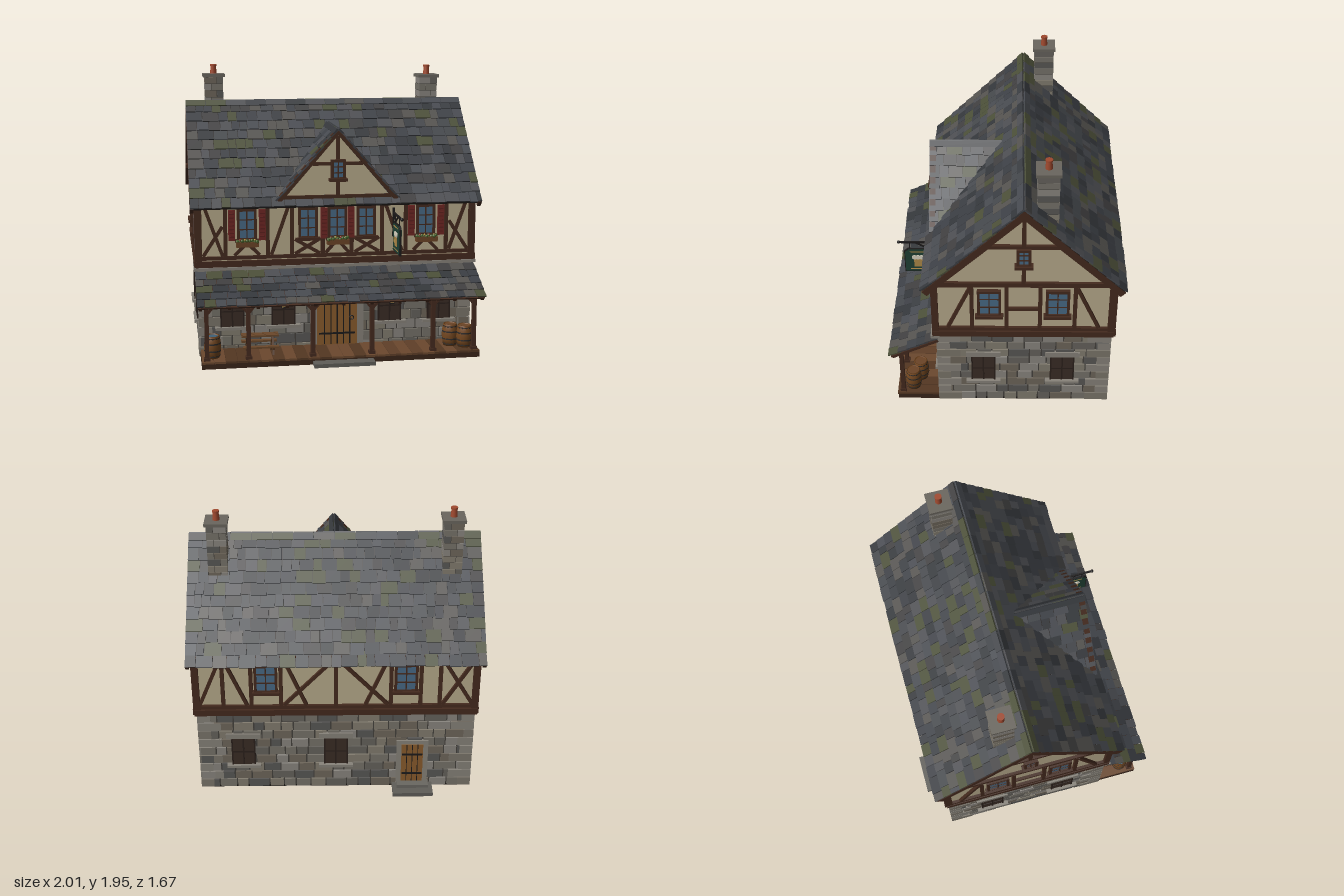
import * as THREE from 'three';
import { mergeGeometries } from 'three/addons/utils/BufferGeometryUtils.js';

const C = { timber: 0x442a1e, plaster: 0xb8ab8c, mortar: 0x45423d, glass: 0x486a86, dark: 0x3a2c25, wood: 0x8a5c2c, deck: 0x5f3f28,
  iron: 0x1c1a1a, red: 0x702623, quoin: 0x88837a, clay: 0xa0492e, green: 0x1f4034, gold: 0xb08a48, leaf: 0x46602a };
const STONES = [0x77736a, 0x66635d, 0x837d70, 0x595856, 0x6f675b, 0x8a8680];
const SLATES = [0x44474b, 0x3a3d42, 0x4d4e52, 0x34373b, 0x403f40, 0x474a50, 0x54524f, 0x3d4046, 0x4b4f38];

let seed = 7;
const rnd = (a = 0, b = 1) => { seed = (seed * 16807) % 2147483647; return a + (b - a) * seed / 2147483647; };
const pick = (list) => list[Math.floor(rnd() * list.length)];

// Pieces are collected per part name and colour, then merged
let parts, frame;
const F = (x, y, z, ry = 0, rx = 0) => new THREE.Matrix4().makeRotationFromEuler(new THREE.Euler(rx, ry, 0, 'YXZ')).setPosition(x, y, z);
function put(name, color, geo, x = 0, y = 0, z = 0, rx = 0, ry = 0, rz = 0) {
  const g = geo.index ? geo.toNonIndexed() : geo.clone();
  g.applyMatrix4(F(0, 0, 0).makeRotationFromEuler(new THREE.Euler(rx, ry, rz)).setPosition(x, y, z)).applyMatrix4(frame);
  const colors = parts.get(name) ?? parts.set(name, new Map()).get(name);
  (colors.get(color) ?? colors.set(color, []).get(color)).push(g);
}
const box = (name, color, w, h, d, x, y, z, ...r) => put(name, color, new THREE.BoxGeometry(w, h, d), x, y, z, ...r);
const cyl = (name, color, r, h, x, y, z, ...rot) => put(name, color, new THREE.CylinderGeometry(r, r, h, 12), x, y, z, ...rot);
const beam = (name, x1, y1, x2, y2, n = 0.012, w = 0.026, d = 0.03, color = C.timber) =>
  box(name, color, w, Math.hypot(x2 - x1, y2 - y1), d, (x1 + x2) / 2, (y1 + y2) / 2, n, 0, 0, Math.atan2(x1 - x2, y2 - y1));
function plate(name, color, pts, depth, n) {
  const s = new THREE.Shape(pts.map((p) => new THREE.Vector2(...p)));
  put(name, color, new THREE.ExtrudeGeometry(s, { depth, bevelEnabled: false }), 0, 0, n);
}

// Coursed stones on a wall of half width hw
function masonry(hw, rows = 9, top = 0.615) {
  const h = top / rows;
  for (let r = 0; r < rows; r++) {
    for (let u = -hw; u < hw - 0.01;) {
      let w = Math.min(rnd(0.07, 0.16), hw - u);
      if (hw - u - w < 0.05) w = hw - u;
      box('stoneWall', pick(STONES), w - 0.009, h - 0.008, 0.02, u + w / 2, h * (r + 0.5), rnd(-0.009, -0.004));
      u += w;
    }
  }
}

// Overlapping slates; range gives the ends of the row at v
function slates(name, length, rows, range) {
  const h = length / rows;
  for (let r = 0; r < rows; r++) {
    const [a, b] = range(-(r + 0.5) * h);
    for (let u = a; u < b - 0.004;) {
      let w = Math.min(rnd(0.05, 0.115), b - u);
      if (b - u - w < 0.03) w = b - u;
      const l = h * 1.22 + rnd(0, 0.01);
      box(name, pick(SLATES), w - 0.004, l, 0.009, u + w / 2, -r * h - l / 2 + 0.006, 0.008, -0.09, 0, rnd(-0.012, 0.012));
      u += w;
    }
  }
}

function timberWindow(u, v, w, h, n = 0.012) {
  box('windowGlass', C.glass, w, h, 0.012, u, v, n);
  for (const s of [-1, 1]) {
    box('windowFrame', C.timber, 0.018, h + 0.018, 0.03, u + s * w / 2, v, n + 0.004);
    box('windowFrame', C.timber, w, 0.018, 0.03, u, v + s * h / 2, n + 0.004);
    box('windowFrame', C.timber, w, 0.007, 0.01, u, v + s * h / 6, n + 0.006);
  }
  box('windowFrame', C.timber, 0.008, h, 0.012, u, v, n + 0.007);
  box('windowSill', C.timber, w + 0.045, 0.02, 0.05, u, v - h / 2 - 0.008, n + 0.01);
}
function stoneWindow(u, v = 0.31, w = 0.165, h = 0.215) {
  box('shutteredOpening', C.dark, w, h, 0.014, u, v, 0.002);
  for (const s of [-1, 0, 1]) box('openingBars', 0x2b201b, 0.01, h, 0.012, u + s * (w / 2 - 0.005), v, 0.008);
  box('openingBars', 0x2b201b, w, 0.01, 0.012, u, v, 0.008);
  box('lintel', C.quoin, w + 0.07, 0.04, 0.03, u, v + h / 2 + 0.02, 0);
  box('stoneSill', C.quoin, w + 0.07, 0.02, 0.05, u, v - h / 2 - 0.01, 0.006);
}

function barrel(x, z, lid) {
  const prof = [[0, 0], [0.046, 0], [0.054, 0.04], [0.057, 0.075], [0.054, 0.11], [0.046, 0.15], [0.04, 0.15], [0.04, 0.14], [0, 0.14]];
  put('barrel', 0x74471f, new THREE.LatheGeometry(prof.map((p) => new THREE.Vector2(...p)), 16), x, 0.05, z);
  for (const [y, r] of [[0.015, 0.05], [0.05, 0.0565], [0.1, 0.0565], [0.135, 0.05]]) cyl('barrelHoop', 0x2f2c2b, r, 0.01, x, 0.05 + y, z);
  cyl('barrelLid', lid, 0.041, 0.004, x, 0.192, z);
}

// Half timbering shared by every upper wall
function wallFrame(hw, posts, braces) {
  box('timberFrame', C.timber, hw * 2 + 0.02, 0.045, 0.04, 0, 0.643, 0.01);
  box('timberFrame', C.timber, hw * 2 + 0.02, 0.025, 0.03, 0, 0.685, 0.01);
  box('timberFrame', C.timber, hw * 2 + 0.02, 0.035, 0.03, 0, 1.068, 0.01);
  for (const s of [-1, 1]) box('timberFrame', C.timber, 0.045, 0.44, 0.034, s * (hw - 0.01), 0.85, 0.009);
  for (const p of posts) beam('timberFrame', p, 0.69, p, 1.06);
  for (const b of braces) beam('timberFrame', ...b, 0.011, 0.023);
}

export function createModel() {
  seed = 7; parts = new Map();
  const world = F(0, 0, 0), front = F(0, 0, 0.46), back = F(0, 0, -0.71, Math.PI);
  const sides = [1, -1].map((s) => F(s * 0.94, 0, -0.12, s * Math.PI / 2));

  // Solid body: stone storey, plaster storey, attic
  frame = world;
  box('groundBase', 0x1c1815, 1.88, 0.01, 1.17, 0, 0.005, -0.125);
  box('stoneCore', C.mortar, 1.862, 0.61, 1.152, 0, 0.312, -0.125);
  box('plasterWall', C.plaster, 1.89, 0.45, 1.19, 0, 0.85, -0.12);
  frame = F(-0.945, 0, -0.12, Math.PI / 2);
  plate('gableWall', C.plaster, [[-0.59, 1.06], [0.59, 1.06], [0.59, 1.085], [0, 1.66], [-0.59, 1.085]], 1.89, 0);

  // Corner stones and projecting course
  frame = world;
  for (const sx of [-1, 1]) for (const [z, sz] of [[0.465, 1], [-0.715, -1]]) for (let r = 0; r < 9; r++) {
    const a = r % 2 ? 0.16 : 0.09, b = r % 2 ? 0.09 : 0.16;
    box('cornerStone', r % 3 ? C.quoin : 0x7c766b, a, 0.061, b, sx * (0.948 - a / 2), 0.034 + r * 0.0683, z - sz * b / 2);
  }
  box('stoneCourse', C.quoin, 1.94, 0.02, 0.06, 0, 0.614, 0.47);

  // Front wall
  frame = front; masonry(0.94);
  [-0.72, -0.37, 0.37, 0.72].forEach((u) => stoneWindow(u));
  const arch = (w, y0, top) => [[-w, y0], [w, y0], [w, top - 0.09], [w * 0.86, top - 0.04], [w * 0.5, top - 0.008], [0, top], [-w * 0.5, top - 0.008], [-w * 0.86, top - 0.04], [-w, top - 0.09]];
  plate('doorSurround', C.quoin, arch(0.185, 0.05, 0.475), 0.02, -0.005);
  plate('frontDoor', C.wood, arch(0.14, 0.05, 0.435), 0.012, 0.01);
  for (let i = -2; i <= 2; i++) box('doorStrap', C.iron, 0.008, 0.36, 0.008, i * 0.044, 0.235, 0.023);
  for (const y of [0.13, 0.34]) box('doorStrap', C.iron, 0.25, 0.012, 0.008, 0, y, 0.024);
  put('doorHandle', C.iron, new THREE.TorusGeometry(0.014, 0.004, 6, 12), 0.1, 0.24, 0.03);
  const mirrored = (list) => [...list, ...list.map(([a, b, c, d]) => [-a, b, -c, d])];
  wallFrame(0.95, [0.31, -0.31, 0.1, -0.1, 0.76, -0.76, 0.475, -0.475], mirrored([[0.9, 1.04, 0.78, 0.7], [0.78, 0.9, 0.91, 0.7], [0.45, 0.7, 0.33, 1.04],
    [0.12, 0.7, 0.29, 0.8], [0.29, 0.7, 0.12, 0.8], [0.53, 0.7, 0.61, 0.78], [0.7, 0.7, 0.62, 0.78], [0.08, 0.7, 0.01, 0.78]]));
  for (const u of [-0.615, -0.2, 0, 0.2, 0.615]) timberWindow(u, 0.91, 0.115, 0.2);
  for (const u of [-0.615, 0, 0.615]) {
    const off = u ? 0.103 : 0.092;
    for (const s of [-1, 1]) {
      box('shutter', C.red, 0.045, 0.21, 0.016, u + s * off, 0.91, 0.034);
      for (let i = -3; i <= 3; i++) box('shutterSlat', 0x5d1f1d, 0.033, 0.008, 0.006, u + s * off, 0.91 + i * 0.026, 0.043);
    }
    box('flowerBox', 0x6b4426, 0.15, 0.035, 0.045, u, 0.782, 0.05);
    for (let i = 0; i < 9; i++) {
      const x = u - 0.066 + i * 0.0165;
      put('flowers', C.leaf, new THREE.IcosahedronGeometry(0.014, 0), x, 0.803 + rnd(-0.006, 0.006), 0.05 + rnd(-0.01, 0.02));
      if (i % 2) put('flowers', i % 4 === 1 ? 0xa83a34 : 0xc9a544, new THREE.IcosahedronGeometry(0.007, 0), x, 0.815, 0.064);
    }
  }

  // Back wall
  frame = back; masonry(0.94); stoneWindow(-0.64); stoneWindow(0);
  box('backDoorSurround', C.quoin, 0.22, 0.37, 0.026, 0.53, 0.205, 0);
  box('backDoor', C.wood, 0.15, 0.32, 0.02, 0.53, 0.2, 0.008);
  for (const s of [-1, 0, 1]) box('doorStrap', C.iron, 0.005, 0.32, 0.006, 0.53 + s * 0.038, 0.2, 0.018);
  for (const y of [0.12, 0.28]) box('doorStrap', C.iron, 0.14, 0.012, 0.007, 0.53, y, 0.02);
  box('backStep', 0x5f5d58, 0.28, 0.028, 0.13, 0.535, 0.014, 0.065);
  box('backStep', 0x6a6862, 0.22, 0.025, 0.07, 0.535, 0.04, 0.035);
  wallFrame(0.95, [0.57, 0.37, 0, -0.37, -0.57, 0.7, -0.76], [[0.72, 0.7, 0.92, 1.04], [0.92, 0.7, 0.72, 1.04], [0.35, 0.7, 0.03, 1.04], [-0.35, 0.7, -0.03, 1.04],
    [0.2, 0.7, 0.34, 1.04], [-0.2, 0.7, -0.34, 1.04], [-0.92, 0.7, -0.78, 1.04], [-0.6, 0.7, -0.74, 1.04]]);
  for (const u of [-0.47, 0.47]) timberWindow(u, 0.91, 0.14, 0.2);

  // Side walls and gables
  for (const f of sides) {
    frame = f; masonry(0.585);
    wallFrame(0.595, [0.34, -0.34, 0.11, -0.11], mirrored([[0.35, 1.04, 0.5, 0.7]]));
    box('timberFrame', C.timber, 0.22, 0.022, 0.03, 0, 0.86, 0.01);
    for (const s of [-1, 1]) {
      stoneWindow(s * 0.27); timberWindow(s * 0.225, 0.91, 0.14, 0.2);
      beam('gableFrame', s * 0.6, 1.06, 0, 1.65, 0.012, 0.04);
      beam('gableFrame', s * 0.53, 1.09, s * 0.23, 1.38, 0.011, 0.022);
    }
    beam('gableFrame', 0, 1.08, 0, 1.64); beam('gableFrame', -0.28, 1.38, 0.28, 1.38);
    timberWindow(0, 1.305, 0.075, 0.12, 0.028);
  }

  // Main roof
  const tilt = Math.atan2(0.66, 0.65);
  for (const ry of [0, Math.PI]) {
    frame = F(0, 1.685, -0.12, ry, -tilt);
    box('roofDeck', 0x2c2521, 1.98, 0.92, 0.02, 0, -0.46, -0.012);
    slates('roofSlates', 0.915, 11, () => [-0.995, 0.995]);
    for (const s of [-1, 1]) box('bargeBoard', C.timber, 0.025, 0.93, 0.045, s * 0.982, -0.463, -0.025);
    for (let i = 0; i < 14; i++) box('ridgeTile', pick(SLATES), 0.139, 0.05, 0.014, -0.923 + i * 0.142, -0.02, 0.012);
  }

  // Dormer
  const dTilt = Math.atan2(0.41, 0.47);
  for (const s of [1, -1]) {
    frame = F(0, 1.54, 0, s * Math.PI / 2, -dTilt);
    plate('dormerDeck', 0x2c2521, [[-s * 0.52, 0], [-s * 0.02, 0], [-s * 0.52, -0.62]], 0.012, -0.014);
    slates('dormerSlates', 0.61, 8, (v) => {
      const z = -0.12 + (0.15 - v * Math.cos(dTilt)) * 1.015;
      return s > 0 ? [-0.53, -z + 0.02] : [z - 0.02, 0.53];
    });
    box('ridgeTile', 0x34373b, 0.5, 0.04, 0.012, -s * 0.28, -0.015, 0.01);
  }
  frame = front;
  plate('dormerWall', C.plaster, [[-0.385, 1.06], [0.385, 1.06], [0, 1.515]], 0.03, 0.005);
  for (const s of [-1, 1]) beam('dormerFrame', 0, 1.535, s * 0.405, 1.07, 0.045, 0.035, 0.04);
  beam('dormerFrame', 0, 1.1, 0, 1.5, 0.04); beam('dormerFrame', -0.17, 1.315, 0.17, 1.315, 0.04, 0.022);
  beam('dormerFrame', -0.37, 1.09, 0.37, 1.09, 0.036);
  timberWindow(0, 1.275, 0.08, 0.12, 0.055);

  // Chimneys
  for (const [x, top] of [[-0.786, 1.88], [0.786, 1.865]]) {
    frame = F(x, 0, -0.27);
    box('chimneyCore', C.mortar, 0.125, 0.44, 0.13, 0, top - 0.24, 0);
    for (let r = 0; r < 9; r++) for (const s of [-1, 1]) {
      const split = r % 2 ? 0.02 : -0.02, w = 0.067 + s * split;
      box('chimneyStone', pick(STONES), w - 0.004, 0.044, 0.14, s * 0.067 - s * w / 2, top - 0.045 - r * 0.048, 0);
    }
    box('chimneyCap', 0x6a665e, 0.155, 0.022, 0.16, 0, top - 0.011, 0);
    put('chimneyPot', C.clay, new THREE.CylinderGeometry(0.019, 0.024, 0.06, 12), 0, top + 0.03, 0);
    cyl('chimneyPot', C.clay, 0.024, 0.012, 0, top + 0.06, 0);
  }

  // Porch: deck, posts, sloping roof
  frame = world;
  box('porchBase', 0x3a2519, 1.88, 0.036, 0.29, 0, 0.018, 0.605);
  for (let i = 0; i < 24; i++) box('deckBoard', pick([C.deck, 0x6b482e, 0x543722]), 0.0755, 0.014, 0.295, -0.9 + i * 0.0783, 0.043, 0.608);
  box('frontStep', 0x5f5d58, 0.41, 0.026, 0.09, 0, 0.013, 0.785);
  for (const x of [-0.905, -0.63, -0.2, 0.2, 0.62, 0.905]) {
    box('porchPost', C.timber, 0.028, 0.39, 0.028, x, 0.245, 0.715);
    box('porchPost', C.timber, 0.042, 0.02, 0.042, x, 0.06, 0.715);
    for (const s of [-1, 1]) if (Math.abs(x + s * 0.05) < 0.92) beam('porchBrace', x, 0.36, x + s * 0.05, 0.42, 0.715, 0.016, 0.018);
  }
  box('porchBeam', C.timber, 1.88, 0.032, 0.035, 0, 0.43, 0.715);
  frame = F(0, 0.585, 0.46, 0, -Math.atan2(0.33, 0.16));
  box('porchRoofDeck', C.timber, 1.92, 0.355, 0.01, 0, -0.18, -0.012);
  for (let i = 0; i < 11; i++) box('porchRafter', C.timber, 0.022, 0.35, 0.022, -0.945 + i * 0.189, -0.18, -0.02);
  slates('porchSlates', 0.35, 5, () => [-0.968, 0.968]);

  // Barrels, table, benches and lanterns
  frame = world;
  barrel(-0.865, 0.645, 0x3f6078); barrel(0.77, 0.6, 0x6b4426); barrel(0.86, 0.645, 0x6b4426);
  for (const z of [0.57, 0.595, 0.62]) box('table', 0x6b482a, 0.25, 0.012, 0.023, -0.545, 0.175, z);
  for (const z of [0.52, 0.67]) box('bench', 0x6b482a, 0.24, 0.012, 0.035, -0.545, 0.112, z);
  for (const x of [-0.63, -0.46]) {
    box('tableLeg', 0x4f341f, 0.014, 0.015, 0.17, x, 0.1, 0.595);
    for (const s of [-1, 1]) box('tableLeg', 0x4f341f, 0.014, 0.135, 0.014, x, 0.11, 0.595 + s * 0.035, -s * 0.5);
  }
  for (const x of [-0.375, 0.375]) {
    box('lantern', 0xe2bd6c, 0.022, 0.036, 0.022, x, 0.36, 0.52);
    for (const y of [0.338, 0.382]) box('lanternFrame', C.iron, 0.03, 0.008, 0.03, x, y, 0.52);
    box('lanternFrame', C.iron, 0.006, 0.03, 0.006, x, 0.4, 0.52);
    box('lanternFrame', C.iron, 0.006, 0.006, 0.07, x, 0.414, 0.49);
  }

  // Hanging sign with a mug relief on both faces
  frame = F(0.39, 0, 0.605, Math.PI / 2);
  box('signBracket', C.iron, 0.27, 0.012, 0.012, -0.005, 0.966, 0);
  box('signBracket', C.iron, 0.014, 0.2, 0.014, 0.125, 0.9, 0);
  beam('signBracket', 0.12, 0.88, -0.03, 0.965, 0, 0.009, 0.009, C.iron);
  put('signBracket', C.iron, new THREE.SphereGeometry(0.012, 10, 8), -0.14, 0.966, 0);
  for (const x of [-0.065, 0.065]) box('signChain', C.iron, 0.005, 0.06, 0.005, x, 0.937, 0);
  const board = (k) => [[-0.105, -0.1], [0.105, -0.1], [0.105, 0.08], [0.08, 0.1], [-0.08, 0.1], [-0.105, 0.08]].map(([x, y]) => [x * k, y * k + 0.81]);
  plate('signBoard', C.iron, board(1), 0.014, -0.007);
  plate('signPanel', C.green, board(0.94), 0.018, -0.009);
  for (const s of [-1, 1]) {
    for (const y of [0.735, 0.888]) box('signTrim', C.gold, 0.13, 0.006, 0.004, 0, y, s * 0.01);
    box('signMug', C.gold, 0.06, 0.07, 0.008, -0.008, 0.795, s * 0.01);
    put('signMug', C.gold, new THREE.TorusGeometry(0.019, 0.005, 6, 14), 0.032, 0.795, s * 0.01);
    for (const x of [-0.034, -0.01, 0.016]) cyl('signFoam', 0xd8d2c0, 0.018, 0.01, x, 0.84, s * 0.01, Math.PI / 2);
  }

  // Assemble
  const model = new THREE.Group();
  for (const [name, colors] of parts) {
    const group = new THREE.Group(); group.name = name;
    for (const [color, geos] of colors) {
      const mesh = new THREE.Mesh(mergeGeometries(geos), new THREE.MeshStandardMaterial({ color }));
      mesh.name = name; group.add(mesh);
    }
    model.add(group);
  }
  return model;
}
